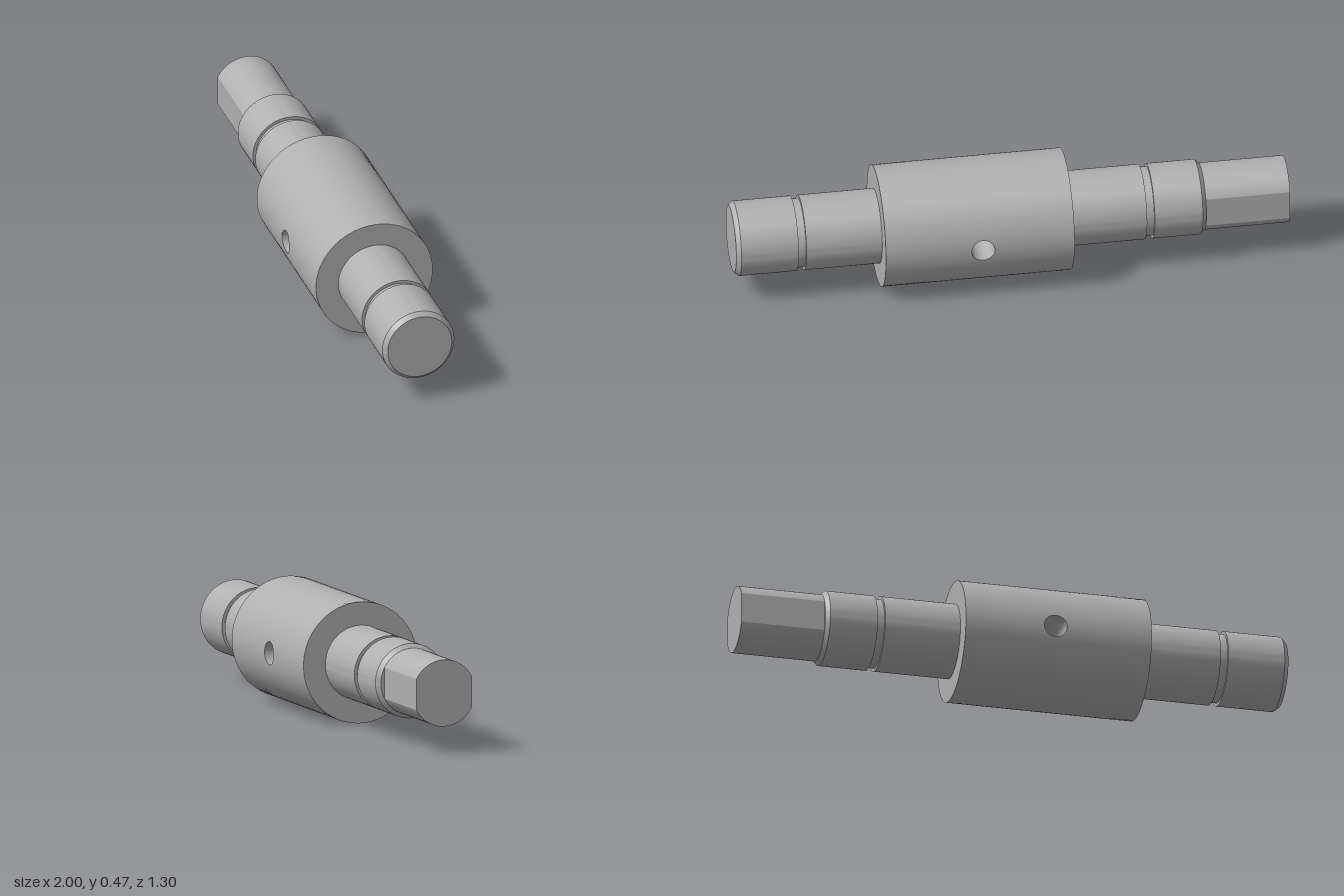
import * as THREE from 'three';
import { toCreasedNormals } from 'three/addons/utils/BufferGeometryUtils.js';
import { ParametricGeometry } from 'three/addons/geometries/ParametricGeometry.js';

// Local frame: shaft axis along x, cross bore along z.
const R = 0.237;                 // drum radius
const X0 = -0.23, X1 = 0.508;    // drum ends
const BORE = 0.045, BORE_X = 0.127;
const J = 0.146;                 // journal radius
const TIP = 0.13;                // radius after chamfers
const GROOVE = 0.134;

// Profile of [radius, x] points turned around the x axis
function turned(points) {
  const geo = new THREE.LatheGeometry(points.map(([r, x]) => new THREE.Vector2(r, x)), 96);
  geo.rotateZ(-Math.PI / 2);
  return toCreasedNormals(geo, 0.5);
}

// Half of the drum's curved wall, spreading from the bore rim to the half's border
function drumHalf(side) {
  return new ParametricGeometry((u, v, p) => {
    const t = -side * u * Math.PI * 2;
    const c = Math.cos(t), s = Math.sin(t), m = Math.max(Math.abs(c), Math.abs(s));
    const borderX = BORE_X + (c / m) * (c > 0 ? X1 - BORE_X : BORE_X - X0);
    const x = THREE.MathUtils.lerp(BORE_X + BORE * c, borderX, v);
    const a = THREE.MathUtils.lerp(Math.asin(BORE * s / R), (s / m) * Math.PI / 2, v);
    p.set(x, R * Math.sin(a), side * R * Math.cos(a));
  }, 128, 16);
}

// Inner wall of the cross bore, ending on the curved drum surface
function boreWall() {
  return new ParametricGeometry((u, v, p) => {
    const t = u * Math.PI * 2, y = BORE * Math.sin(t);
    p.set(BORE_X + BORE * Math.cos(t), y, Math.sqrt(R * R - y * y) * (1 - 2 * v));
  }, 128, 4);
}

// Round stub with two parallel flats
function flattedStub() {
  const a = Math.acos(0.115 / TIP);
  const shape = new THREE.Shape();
  shape.absarc(0, 0, TIP, a, Math.PI - a, false);
  shape.absarc(0, 0, TIP, Math.PI + a, 2 * Math.PI - a, false);
  shape.closePath();
  const geo = new THREE.ExtrudeGeometry(shape, { depth: 0.33, bevelEnabled: false, curveSegments: 40 });
  geo.rotateY(Math.PI / 2);
  geo.translate(-1.092, 0, 0);
  return toCreasedNormals(geo, 0.25);
}

export function createModel() {
  const steel = new THREE.MeshStandardMaterial({ color: 0xb0b0b0 });
  steel.name = 'steel grey';
  const shaft = new THREE.Group();
  shaft.name = 'shaft';
  const add = (name, geo) => {
    const mesh = new THREE.Mesh(geo, steel);
    mesh.name = name;
    shaft.add(mesh);
  };

  // Central drum with its cross bore
  add('drumFrontWall', drumHalf(1));
  add('drumBackWall', drumHalf(-1));
  add('crossBore', boreWall());

  // Journals with ring groove, end chamfer and the adjoining drum face
  add('rightJournal', turned([
    [0, -0.762], [TIP, -0.762], [J, -0.746], [J, -0.558], [GROOVE, -0.558],
    [GROOVE, -0.528], [J, -0.528], [J, X0], [R, X0],
  ]));
  add('leftJournal', turned([
    [R, X1], [J, X1], [J, 0.804], [GROOVE, 0.804], [GROOVE, 0.834],
    [J, 0.834], [J, 1.058], [TIP, 1.076], [0, 1.076],
  ]));

  add('flattedStub', flattedStub());

  // The shaft lies level, turned 30 degrees
  shaft.rotation.y = -Math.PI / 6;
  shaft.position.set(0.0035, R, -0.006);

  const model = new THREE.Group();
  model.name = 'steppedShaft';
  model.add(shaft);
  return model;
}
